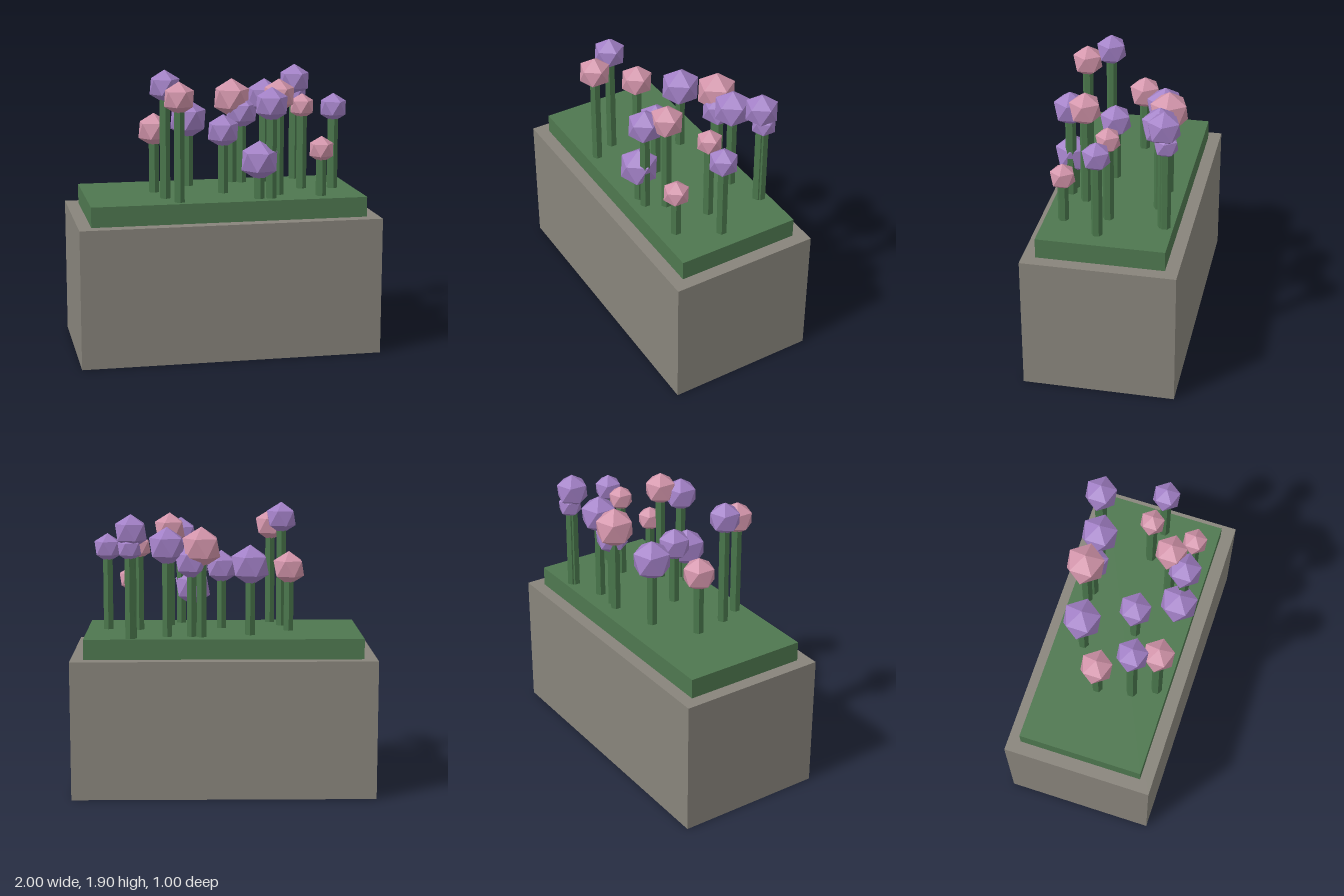
import * as THREE from 'three';

const mat = (name, color) => {
  const m = new THREE.MeshStandardMaterial({ color, flatShading: true });
  m.name = name;
  return m;
};

// Bloom rows: x, z, centre height, radius
const PURPLE = [
  [-0.175, -0.22, 1.51, 0.137],
  [0.21, -0.28, 1.54, 0.12],
  [0.37, -0.28, 1.64, 0.13],
  [0.6, -0.345, 1.743, 0.115],
  [0.61, -0.36, 1.635, 0.085],
  [0.01, 0.08, 1.465, 0.115],
  [-0.4, 0.19, 1.787, 0.11],
  [0.205, 0.32, 1.3, 0.134],
  [0.285, 0.32, 1.667, 0.117],
  [0.775, 0.045, 1.6, 0.099],
];
const PINK = [
  [0.145, -0.3, 1.636, 0.137],
  [-0.44, -0.035, 1.47, 0.115],
  [-0.33, 0.34, 1.725, 0.11],
  [0.36, 0.205, 1.71, 0.114],
  [0.565, 0.015, 1.61, 0.088],
  [0.63, 0.295, 1.358, 0.09],
];

export function createModel() {
  const group = new THREE.Group();
  group.name = 'flowerPlanter';
  const stone = mat('stone grey', 0x88847b);
  const leaf = mat('bed green', 0x4e774f);
  const stalk = mat('stem green', 0x4a774c);
  const purple = mat('purple', 0xa280c6);
  const pink = mat('pink', 0xd294aa);

  const add = (parent, name, geometry, material, x, y, z) => {
    const mesh = new THREE.Mesh(geometry, material);
    mesh.name = name;
    mesh.position.set(x, y, z);
    parent.add(mesh);
    return mesh;
  };

  // Stone box and the planted bed on top
  const baseTop = 0.917, bedTop = 1.05;
  add(group, 'planterBox', new THREE.BoxGeometry(2, baseTop, 1), stone, 0, baseTop / 2, 0);
  add(group, 'plantBed', new THREE.BoxGeometry(1.83, bedTop - baseTop, 0.83), leaf,
    0, (baseTop + bedTop) / 2, 0);

  // Twenty-sided bloom turned so one corner points straight up
  const bloomGeo = new THREE.IcosahedronGeometry(1, 0);
  bloomGeo.rotateZ(-Math.atan2(1, (1 + Math.sqrt(5)) / 2));

  // Each flower is a six-sided stem with a bloom at its tip
  const plant = (rows, material) => {
    for (const [x, z, y, r] of rows) {
      const flower = new THREE.Group();
      flower.name = 'flower';
      const height = y - bedTop;
      add(flower, 'stem', new THREE.CylinderGeometry(0.036, 0.036, height, 6), stalk,
        x, bedTop + height / 2, z);
      add(flower, 'bloom', bloomGeo, material, x, y, z).scale.setScalar(r);
      group.add(flower);
    }
  };
  plant(PURPLE, purple);
  plant(PINK, pink);
  return group;
}
